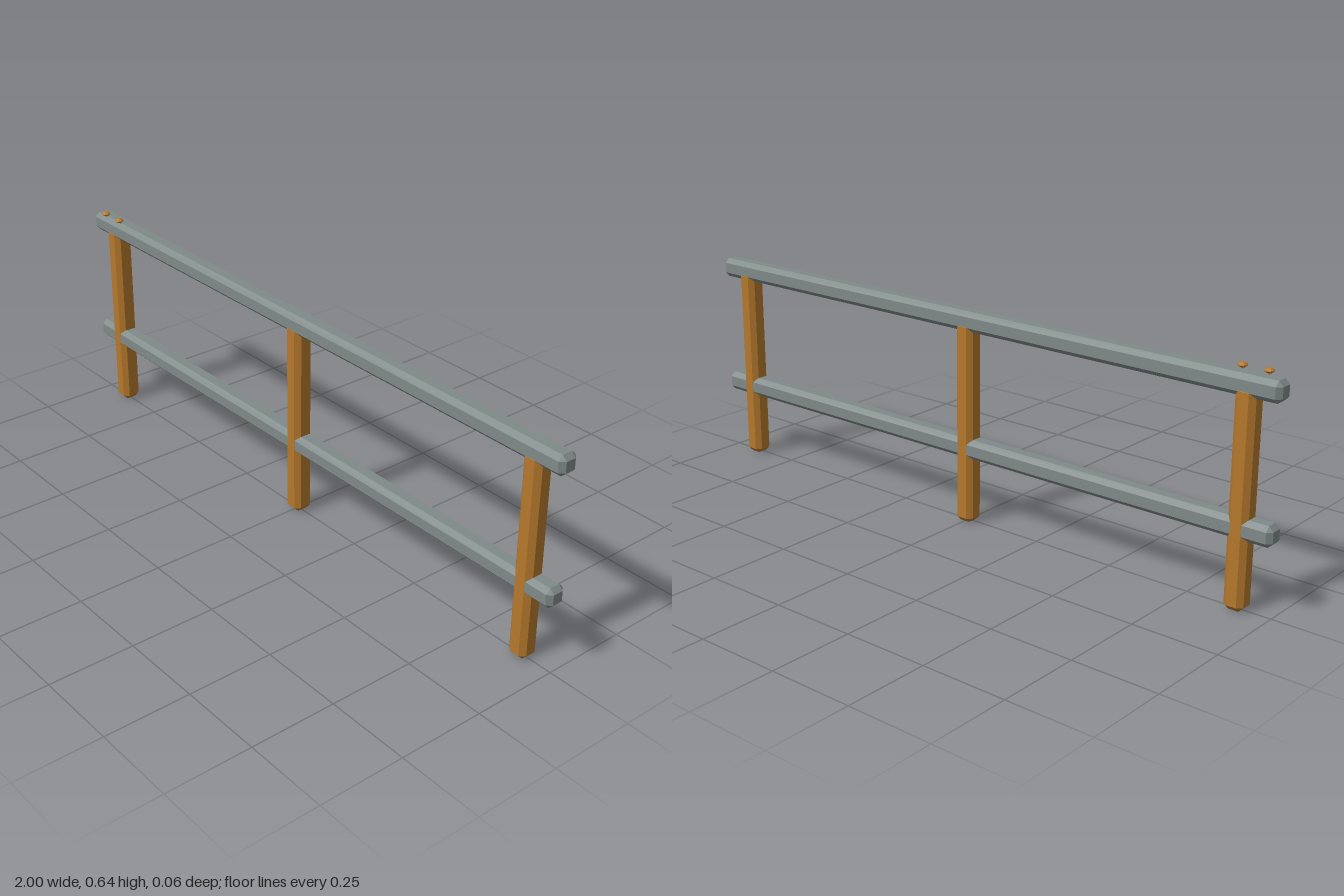
import * as THREE from 'three';
import { ConvexGeometry } from 'three/addons/geometries/ConvexGeometry.js';

// Box of the given size with every edge and corner cut off by c
function chamferedBox(w, h, d, c) {
  const points = [];
  for (const x of [-w / 2, w / 2])
    for (const y of [-h / 2, h / 2])
      for (const z of [-d / 2, d / 2]) {
        const ix = x - Math.sign(x) * c, iy = y - Math.sign(y) * c, iz = z - Math.sign(z) * c;
        points.push(new THREE.Vector3(x, iy, iz), new THREE.Vector3(ix, y, iz), new THREE.Vector3(ix, iy, z));
      }
  return new ConvexGeometry(points);
}

export function createModel() {
  const model = new THREE.Group();
  const wood = new THREE.MeshStandardMaterial({ color: 0xb5782c, flatShading: true });
  wood.name = 'wood';
  const metal = new THREE.MeshStandardMaterial({ color: 0x7f8a88, flatShading: true });
  metal.name = 'grey rail';

  function add(name, geometry, material, x, y, z) {
    const mesh = new THREE.Mesh(geometry, material);
    mesh.name = name;
    mesh.position.set(x, y, z);
    model.add(mesh);
    return mesh;
  }

  // Upper and lower rails
  const railShape = chamferedBox(2, 0.058, 0.058, 0.0135);
  add('upperRail', railShape, metal, 0, 0.601, -0.0015);
  add('lowerRail', railShape, metal, 0, 0.226, -0.0015);

  // Three posts, a hair proud of the rails
  const postShape = chamferedBox(0.059, 0.6, 0.059, 0.0142);
  ['rightPost', 'middlePost', 'leftPost'].forEach((name, i) =>
    add(name, postShape, wood, (i - 1) * 0.9, 0.3, -0.0015));

  // Two small flattened knobs on short pegs
  const knobShape = new THREE.LatheGeometry(
    [[0, -0.0065], [0.006, -0.0065], [0.0135, -0.001], [0.0135, 0.001], [0.006, 0.0065], [0, 0.0065]]
      .map(([r, y]) => new THREE.Vector2(r, y)), 8);
  const pegShape = new THREE.CylinderGeometry(0.003, 0.003, 0.014, 6);
  for (const x of [-0.94, -0.865]) {
    add('knob', knobShape, wood, x, 0.6385, 0.018);
    add('knobPeg', pegShape, wood, x, 0.63, 0.0135).rotation.x = 0.6;
  }
  return model;
}
